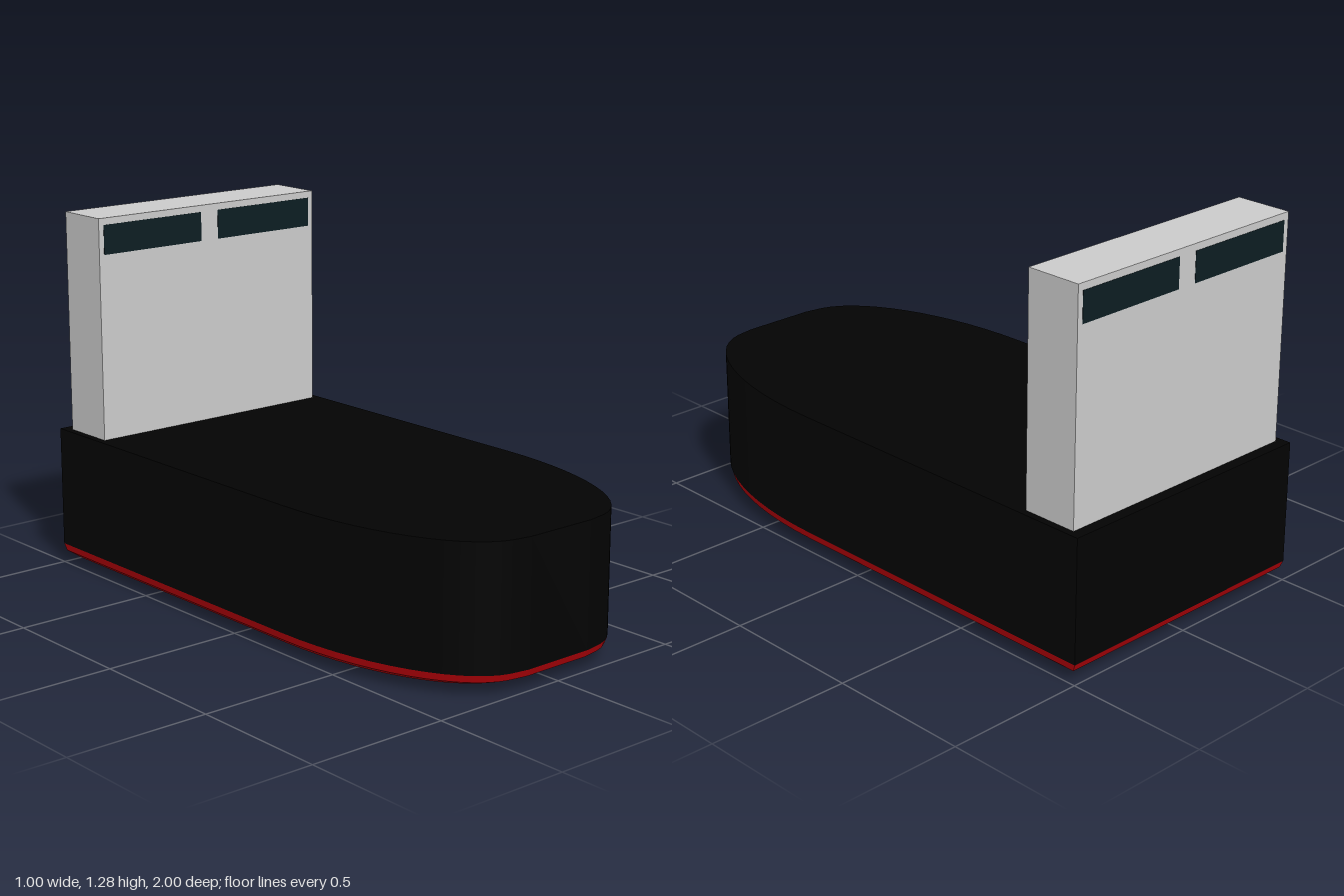
import * as THREE from 'three';

const paint = (color) => new THREE.MeshStandardMaterial({ color, flatShading: true });

// Half outline of the deck from stern to bow, mirrored into a closed ring of [x, z]
function hullOutline() {
  const bow = new THREE.CubicBezierCurve(
    new THREE.Vector2(0.5, 0.25), new THREE.Vector2(0.5, 0.65),
    new THREE.Vector2(0.36, 0.95), new THREE.Vector2(0.2, 0.988));
  const half = [[0.5, -1], ...bow.getPoints(14).map((p) => [p.x, p.y]), [0.13, 1]];
  return [...half, ...half.map(([x, z]) => [-x, z]).reverse()];
}

// Joins scaled copies of the outline at the levels [y, scale], listed top down
function loft(outline, levels, capTop, capBottom) {
  const pos = [], index = [], n = outline.length;
  for (const [y, s] of levels) for (const [x, z] of outline) pos.push(x * s, y, z * s);
  for (let r = 0; r < levels.length - 1; r++) {
    for (let i = 0; i < n; i++) {
      const a = r * n + i, b = r * n + (i + 1) % n;
      index.push(a, b, a + n, b, b + n, a + n);
    }
  }
  const last = (levels.length - 1) * n;
  for (let i = 1; i < n - 1; i++) {
    if (capTop) index.push(0, i + 1, i);
    if (capBottom) index.push(last, last + i, last + i + 1);
  }
  const geo = new THREE.BufferGeometry();
  geo.setAttribute('position', new THREE.Float32BufferAttribute(pos, 3));
  geo.setIndex(index);
  const flat = geo.toNonIndexed();
  flat.computeVertexNormals();
  return flat;
}

export function createModel() {
  const group = new THREE.Group();
  const add = (name, geo, mat, x = 0, y = 0, z = 0) => {
    const mesh = new THREE.Mesh(geo, mat);
    mesh.name = name;
    mesh.position.set(x, y, z);
    group.add(mesh);
  };
  const outline = hullOutline();

  // Black hull with a flat deck
  add('hull', loft(outline, [[0.5, 1], [0.07, 1]], true, false), paint(0x030303));

  // Red underside, rounding in to a flat bottom
  const keel = [[0.07, 1], [0.045, 0.99], [0.025, 0.94], [0.008, 0.85], [0, 0.74]];
  add('hullBottom', loft(outline, keel, false, true), paint(0xb80008));

  // Bridge block at the stern
  add('bridge', new THREE.BoxGeometry(0.95, 0.785, 0.2), paint(0xcccccc), 0, 0.8925, -0.86);

  // Window panes on the front and back of the bridge
  const glass = paint(0x0c1d22);
  for (const side of [1, -1]) {
    for (const face of [1, -1]) {
      add(`${side > 0 ? 'left' : 'right'}${face > 0 ? 'Front' : 'Back'}Window`,
        new THREE.BoxGeometry(0.418, 0.104, 0.002), glass,
        side * 0.246, 1.209, -0.86 + face * 0.1);
    }
  }
  return group;
}
